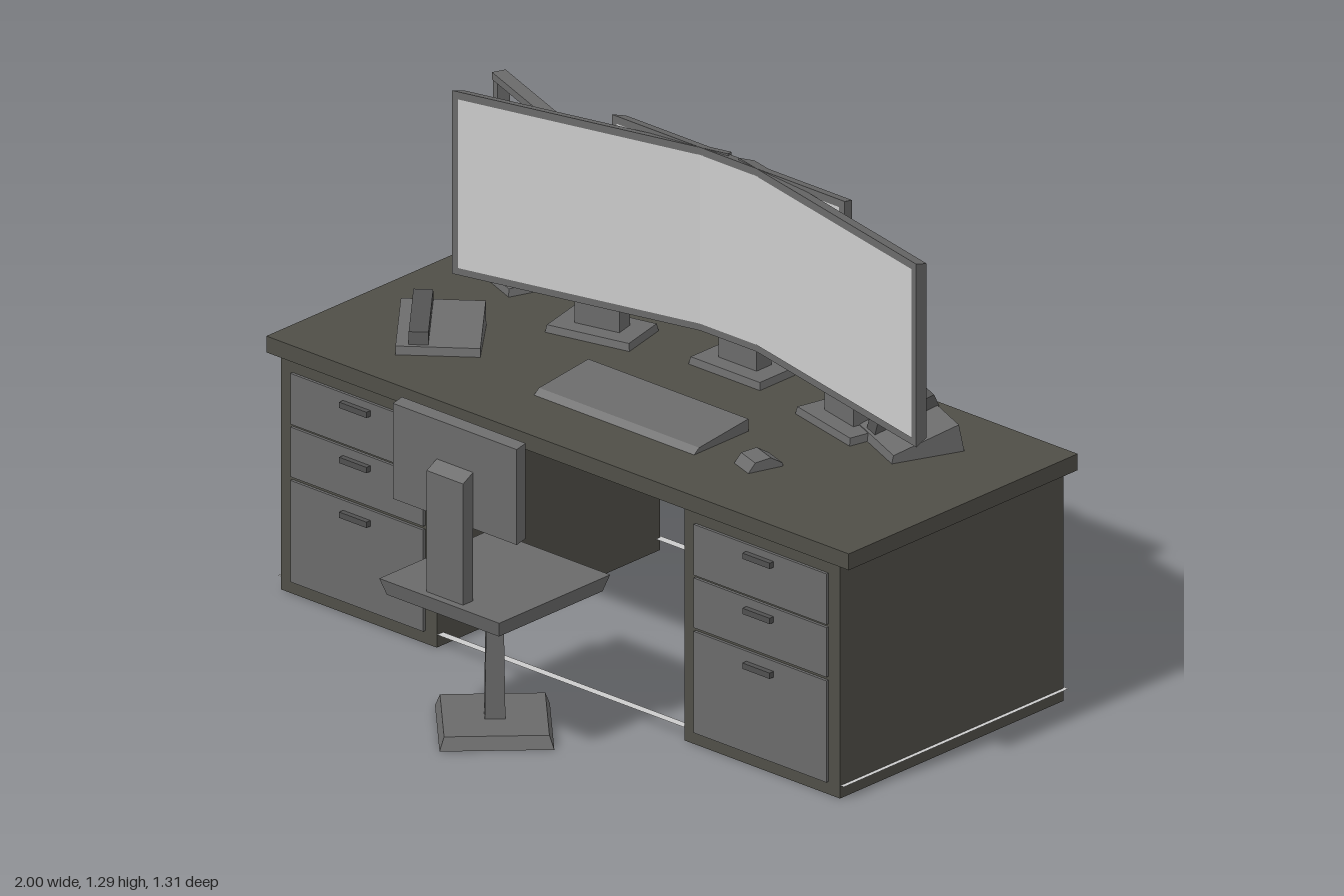
import * as THREE from 'three';

const mat = (color) => new THREE.MeshStandardMaterial({ color, flatShading: true, side: THREE.DoubleSide });
const wood = mat(0x4f4e47);
const grey = mat(0x6a6a6a);
const dark = mat(0x505050);
const pale = mat(0xcccccc);
const DESK = 0.69; // height of the desk surface

const add = (parent, name, geometry, material) => {
  const mesh = new THREE.Mesh(geometry, material);
  mesh.name = name;
  parent.add(mesh);
  return mesh;
};

const group = (parent, name, x, y, z, turn = 0) => {
  const g = new THREE.Group();
  g.name = name;
  g.position.set(x, y, z);
  g.rotation.y = turn;
  parent.add(g);
  return g;
};

// Box given by its limits on each axis
const box = (parent, name, material, x0, x1, y0, y1, z0, z1) => {
  const mesh = add(parent, name, new THREE.BoxGeometry(x1 - x0, y1 - y0, z1 - z0), material);
  mesh.position.set((x0 + x1) / 2, (y0 + y1) / 2, (z0 + z1) / 2);
  return mesh;
};

// Box standing on y = 0 whose top face is scaled by sx, sz
const taperBox = (w, h, d, sx, sz) => {
  const geometry = new THREE.BoxGeometry(w, h, d).translate(0, h / 2, 0);
  const p = geometry.attributes.position;
  for (let i = 0; i < p.count; i++) {
    if (p.getY(i) > h / 2) p.setXYZ(i, p.getX(i) * sx, h, p.getZ(i) * sz);
  }
  geometry.computeVertexNormals();
  return geometry;
};

// Side outline of [z, y] points, drawn out along x and centred
const prism = (outline, width) => {
  const shape = new THREE.Shape(outline.map(([z, y]) => new THREE.Vector2(-z, y)));
  return new THREE.ExtrudeGeometry(shape, { depth: width, bevelEnabled: false })
    .translate(0, 0, -width / 2).rotateY(Math.PI / 2);
};

function addPedestal(parent, side) {
  const g = group(parent, side < 0 ? 'rightPedestal' : 'leftPedestal', side * 0.6925, 0, 0);
  // Shell, open underneath
  for (const s of [-1, 1]) box(g, 'sidePanel', wood, s * 0.2575 - 0.01, s * 0.2575 + 0.01, 0, 0.645, -0.645, 0.165);
  box(g, 'frontFrame', wood, -0.2675, 0.2675, 0, 0.645, 0.165, 0.184);
  box(g, 'backPanel', grey, -0.248, 0.248, 0.015, 0.63, -0.64, -0.625);
  box(g, 'backRailTop', wood, -0.248, 0.248, 0.63, 0.645, -0.645, -0.625);
  box(g, 'backRailBottom', wood, -0.248, 0.248, 0, 0.015, -0.645, -0.625);
  // Drawers with bar handles
  for (const [y0, y1, grip] of [[0.47, 0.61, 0.582], [0.325, 0.462, 0.43], [0.035, 0.315, 0.279]]) {
    box(g, 'drawer', grey, -0.228, 0.228, y0, y1, 0.18, 0.192);
    box(g, 'drawerHandle', dark, -0.047, 0.047, grip - 0.008, grip + 0.008, 0.19, 0.207);
  }
}

function addMonitor(parent, name, x, z, turn) {
  const g = group(parent, name, x, 0, z, turn);
  // Housing narrows toward the back; its front face lies on local z = 0
  const housing = add(g, 'housing', taperBox(0.8, 0.04, 0.505, 0.97, 0.95), grey);
  housing.rotation.x = -Math.PI / 2;
  housing.position.y = 1.0375;
  const display = add(g, 'display', new THREE.PlaneGeometry(0.765, 0.465), pale);
  display.position.set(0, 1.0375, 0.002);
  // Stand with a sloped top
  add(g, 'standColumn', prism([[-0.035, DESK], [-0.035, 1.155], [-0.06, 1.155], [-0.09, 1.125], [-0.09, DESK]], 0.13), grey);
  add(g, 'standBase', taperBox(0.245, 0.02, 0.15, 0.97, 0.95), grey).position.set(0, DESK, -0.06);
}

function addPhone(parent, x, z, turn) {
  const g = group(parent, 'telephone', x, DESK, z, turn);
  add(g, 'phoneBody', prism([[0.1, 0], [0.095, 0.022], [-0.085, 0.075], [-0.1, 0]], 0.215), grey);
  const handset = add(g, 'handset', prism([[0.088, 0.024], [0.08, 0.056], [-0.075, 0.106], [-0.09, 0.072]], 0.05), dark);
  handset.position.x = -0.05;
}

function addChair(parent) {
  const g = group(parent, 'chair', 0.02, 0, 0.45);
  add(g, 'chairBase', new THREE.CylinderGeometry(0.188, 0.205, 0.035, 4), grey).position.y = 0.0175;
  add(g, 'chairColumn', new THREE.CylinderGeometry(0.03, 0.037, 0.34, 4), grey).position.y = 0.202;
  add(g, 'seat', taperBox(0.385, 0.045, 0.385, 1.07, 1.07), grey).position.y = 0.371;
  add(g, 'backSupport', prism([[0.148, 0.41], [0.148, 0.77], [0.185, 0.75], [0.185, 0.41]], 0.125), grey);
  add(g, 'backrest', prism([[0.115, 0.622], [0.115, 0.885], [0.148, 0.878], [0.148, 0.615]], 0.425), grey);
}

function addLamp(parent) {
  const g = group(parent, 'deskLamp', -0.8, DESK, -0.505, -0.37);
  add(g, 'lampBase', taperBox(0.235, 0.02, 0.14, 0.95, 0.95), grey);
  box(g, 'lampPole', grey, -0.085, -0.058, 0.02, 0.515, -0.02, 0.015);
  box(g, 'lampArm', grey, -0.085, 0.25, 0.51, 0.53, -0.02, 0.018);
}

export function createModel() {
  const model = new THREE.Group();
  model.name = 'officeDesk';

  // Desk
  box(model, 'desktop', wood, -1, 1, 0.645, DESK, -0.655, 0.195);
  addPedestal(model, -1);
  addPedestal(model, 1);

  // Thin flat strip running round the foot of the desk
  const rect = (target, x, z0, z1) => target.moveTo(-x, z0).lineTo(x, z0).lineTo(x, z1).lineTo(-x, z1).closePath();
  const strip = rect(new THREE.Shape(), 0.972, -0.183, 0.652);
  strip.holes.push(rect(new THREE.Path(), 0.947, -0.16, 0.629));
  const rail = add(model, 'footStrip', new THREE.ShapeGeometry(strip), pale);
  rail.rotation.x = -Math.PI / 2;
  rail.position.y = 0.035;

  // Three monitors in an arc, the outer two turned inward
  addMonitor(model, 'centreMonitor', 0.022, -0.415, 0);
  addMonitor(model, 'rightMonitor', -0.385, -0.342, 0.23);
  addMonitor(model, 'leftMonitor', 0.43, -0.342, -0.23);

  // Desk equipment
  addPhone(model, -0.66, -0.085, 0.67);
  addPhone(model, 0.64, -0.425, -0.41);
  addLamp(model);
  const keys = add(model, 'keyboard', prism([[0.007, 0], [-0.012, 0.014], [-0.195, 0.034], [-0.195, 0]], 0.55), grey);
  keys.position.set(0.02, DESK, 0);
  const mouse = group(model, 'mouse', 0.455, DESK, -0.06, -0.33);
  add(mouse, 'mouseBody', prism([[0.05, 0], [0.03, 0.025], [-0.015, 0.03], [-0.05, 0.008], [-0.05, 0]], 0.075), grey);

  addChair(model);
  return model;
}
